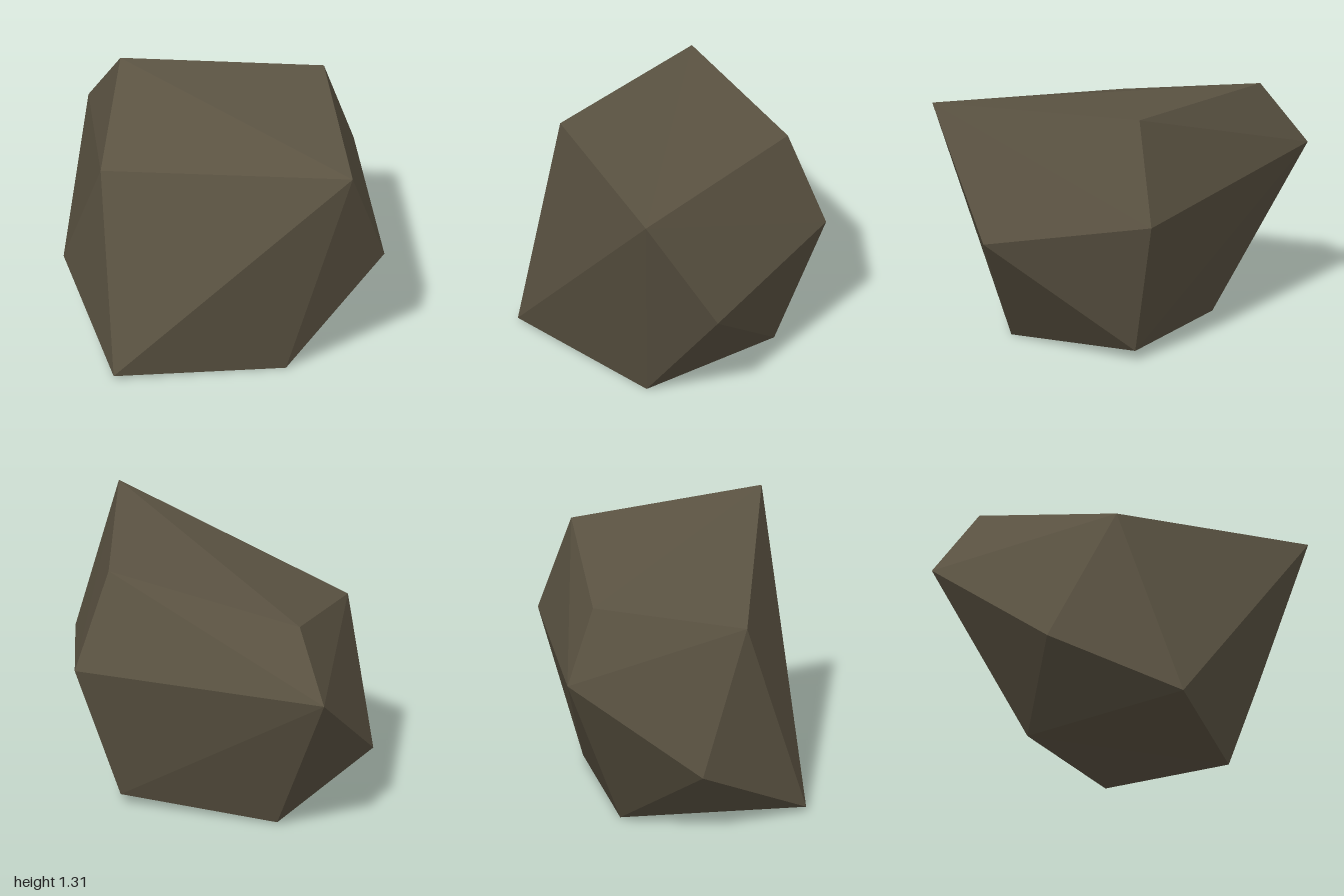
import * as THREE from 'three';
import { ConvexGeometry } from 'three/addons/geometries/ConvexGeometry.js';

export function createModel() {
  const group = new THREE.Group();
  group.name = 'rock';

  const stone = new THREE.MeshStandardMaterial({ color: 0x5c5443, flatShading: true });
  stone.name = 'dark stone';

  // Corners of the boulder, from crown to base
  const corners = [
    // crown
    [1.0, 1.31, -0.02], [0.09, 1.31, -0.59], [-0.75, 1.2, 0.04], [-0.21, 1.03, 0.62],
    // waist
    [-1.0, 0.86, 0.04], [-0.56, 0.33, 0.57], [0.84, 0.65, -0.36], [0.09, 0.8, -0.785],
    // base
    [0.09, 0.02, 0.785], [0.56, 0.0, 0.05], [-0.5, 0.01, 0.05], [0.09, 0.055, -0.52],
  ].map((c) => new THREE.Vector3(...c));

  // Flat facets wrapped around the corners
  const boulder = new THREE.Mesh(new ConvexGeometry(corners), stone);
  boulder.name = 'boulder';
  group.add(boulder);
  return group;
}
